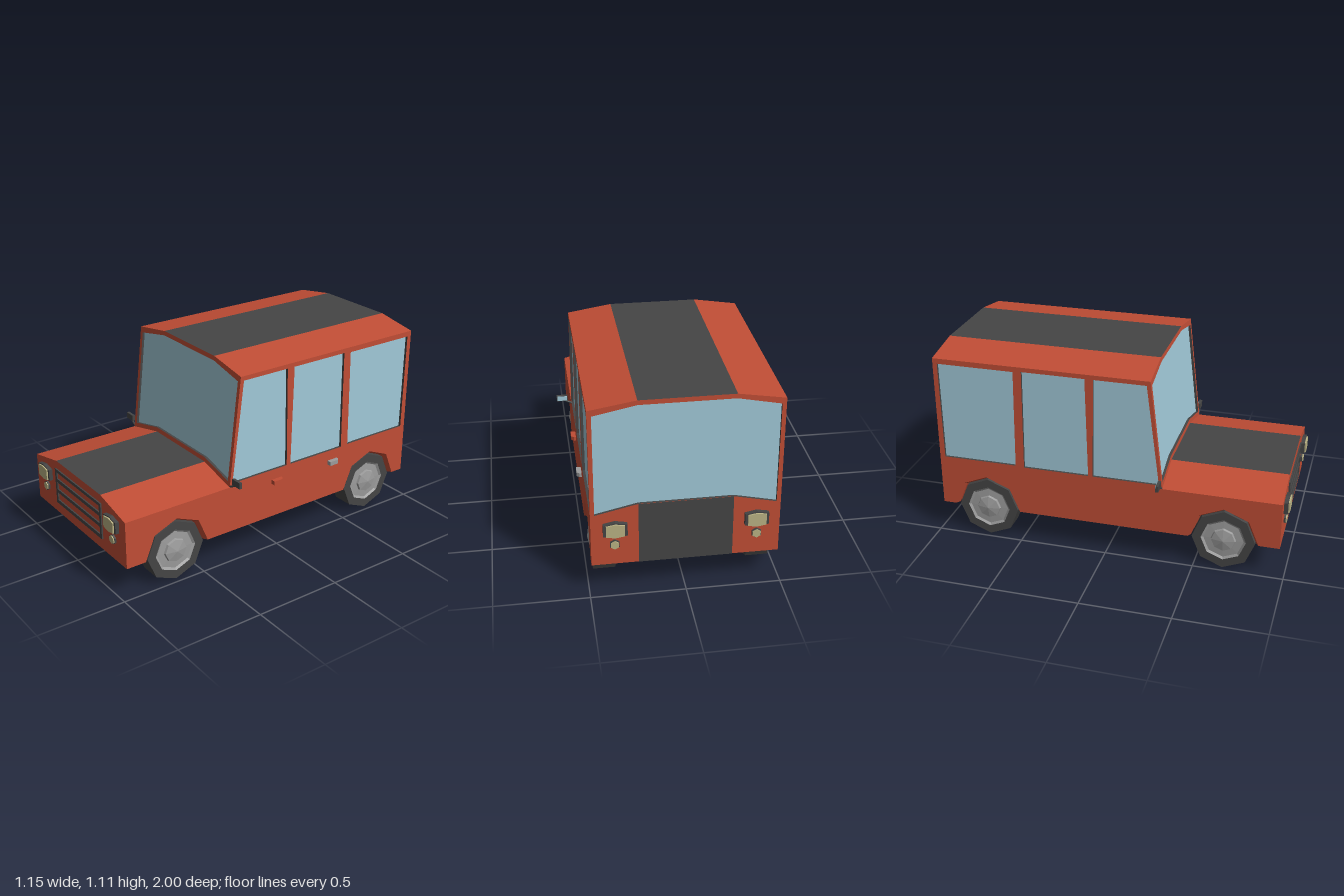
import * as THREE from 'three';

const paint = (name, color) => {
  const m = new THREE.MeshStandardMaterial({ color, flatShading: true, side: THREE.DoubleSide });
  m.name = name;
  return m;
};
const red = paint('redPaint', 0xc04d35);
const dark = paint('darkGrey', 0x454545);
const black = paint('underbodyBlack', 0x2a2a2a);
const glass = paint('glassBlue', 0xa1c9d8);
const grey = paint('metalGrey', 0x9c9c9c);
const yellow = paint('lampYellow', 0xbab284);

const W = 0.487, S = 0.243;              // half width, half width of stripe and ridge
const FLOOR = 0.18, BELT = 0.45, HOOD = 0.505, EAVE = 1.07, ROOF = 1.11, END = 0.97;
const screenZ = y => 0.32 - (y - BELT) * 0.113;   // raked windscreen plane
const AXLES = [0.66, -0.7];

function mesh(parent, name, geo, mat) {
  const m = new THREE.Mesh(geo, mat);
  m.name = name;
  parent.add(m);
  return m;
}
const toShape = pts => new THREE.Shape(pts.map(p => new THREE.Vector2(p[0], p[1])));

// Flat outline placed in space by map(u, v, depth)
function face(parent, name, pts, holes, map, depth, mat) {
  const shape = toShape(pts);
  holes.forEach(h => shape.holes.push(toShape(h)));
  const geo = new THREE.ShapeGeometry(shape);
  const p = geo.attributes.position;
  for (let i = 0; i < p.count; i++) p.setXYZ(i, ...map(p.getX(i), p.getY(i), depth));
  geo.computeVertexNormals();
  return mesh(parent, name, geo, mat);
}

function quads(parent, name, list, mat) {
  const pos = [];
  for (const [a, b, c, d] of list) pos.push(...a, ...b, ...c, ...a, ...c, ...d);
  const geo = new THREE.BufferGeometry();
  geo.setAttribute('position', new THREE.Float32BufferAttribute(pos, 3));
  geo.computeVertexNormals();
  return mesh(parent, name, geo, mat);
}

// Painted panel with recessed, dark-edged windows
function panel(parent, name, pts, holes, map) {
  face(parent, name, pts, holes, map, 0, red);
  holes.forEach(h => {
    face(parent, name + 'Glass', h, [], map, 0.014, glass);
    quads(parent, name + 'Seal', h.map((p, i) => {
      const q = h[(i + 1) % h.length];
      return [map(...p, 0), map(...q, 0), map(...q, 0.014), map(...p, 0.014)];
    }), dark);
  });
}

// Extruded outline, front at z1
function plate(parent, name, pts, holes, z0, z1, mat) {
  const shape = toShape(pts);
  holes.forEach(h => shape.holes.push(toShape(h)));
  const geo = new THREE.ExtrudeGeometry(shape, { depth: z1 - z0, bevelEnabled: false });
  return mesh(parent, name, geo.translate(0, 0, z0), mat);
}
const rect = (x0, y0, x1, y1) => [[x0, y0], [x1, y0], [x1, y1], [x0, y1]];
const barrel = (x, y, w, h, c) => [[x - w, y - h + c], [x, y - h], [x + w, y - h + c],
  [x + w, y + h - c], [x, y + h], [x - w, y + h - c]];
const hex = (x, y, r) => barrel(x, y, r * 0.87, r, r / 2);

function buildBody(car) {
  const body = new THREE.Group();
  body.name = 'body';
  car.add(body);

  // Sides with wheel arches and three windows each
  const side = [[END, FLOOR], [END, BELT], [0.32, BELT], [screenZ(EAVE), EAVE], [-END, EAVE], [-END, FLOOR]];
  for (const z of [...AXLES].reverse())
    for (let i = 4; i >= 0; i--) {
      const a = i * Math.PI / 4;
      side.push([z + 0.195 * Math.cos(a), FLOOR + 0.195 * Math.sin(a)]);
    }
  const windows = [
    [[0.302, 0.47], [0.23, 1.045], [-0.06, 1.045], [-0.07, 0.47]],
    [[-0.096, 0.47], [-0.107, 1.045], [-0.46, 1.045], [-0.468, 0.47]],
    [[-0.517, 0.475], [-0.507, 1.04], [-0.944, 1.04], [-0.94, 0.475]],
  ];
  for (const s of [1, -1])
    panel(body, s > 0 ? 'leftSide' : 'rightSide', side, windows, (u, v, d) => [s * (W - d), v, u]);

  // Windscreen, rear and nose
  const pane = [[-0.465, 0.48], [-S, 0.53], [S, 0.53], [0.465, 0.48],
    [0.465, 1.04], [S, 1.085], [-S, 1.085], [-0.465, 1.04]];
  const top = [[W, EAVE], [S, ROOF], [-S, ROOF], [-W, EAVE]];
  panel(body, 'windscreen', [[-W, BELT], [-S, HOOD], [S, HOOD], [W, BELT], ...top], [pane],
    (u, v, d) => [u, v, screenZ(v) - d]);
  panel(body, 'rear', [[-W, FLOOR], [W, FLOOR], ...top], [pane], (u, v, d) => [u, v, -END + d]);
  face(body, 'rearStripe', rect(-S, FLOOR, S, 0.53), [], (u, v) => [u, v, -END - 0.002], 0, dark);
  face(body, 'nose', [[-W, FLOOR], [W, FLOOR], [W, BELT], [S, HOOD], [-S, HOOD], [-W, BELT]], [],
    (u, v) => [u, v, END], 0, red);

  // Hood and roof: sloping red sides, dark centre stripe
  for (const [name, lo, hi, zFront, zBackLo, zBackHi] of [
    ['hood', BELT, HOOD, () => END, screenZ(BELT), screenZ(HOOD)],
    ['roof', EAVE, ROOF, screenZ, -END, -END]]) {
    quads(body, name + 'Sides', [1, -1].map(s => {
      const q = [[s * W, lo, zFront(lo)], [s * S, hi, zFront(hi)], [s * S, hi, zBackHi], [s * W, lo, zBackLo]];
      return s > 0 ? q.reverse() && [q[3], q[0], q[1], q[2]] : q;
    }).map((q, i) => i === 0 ? [q[0], q[1], q[2], q[3]] : [q[0], q[1], q[2], q[3]]), red);
    quads(body, name + 'Stripe', [[[-S, hi, zFront(hi)], [S, hi, zFront(hi)], [S, hi, zBackHi], [-S, hi, zBackHi]]], dark);
  }

  // Underbody notched for the wheel wells
  const half = [[W, END]];
  for (const z of AXLES)
    half.push([W, z + 0.195], [0.465, z + 0.18], [0.33, z + 0.18],
      [0.33, z - 0.18], [0.465, z - 0.18], [W, z - 0.195]);
  half.push([W, -END]);
  const floor = [...half, ...half.map(([x, z]) => [-x, z]).reverse()];
  face(body, 'underbody', floor, [], (u, v) => [u, FLOOR, v], 0, black);
}

// Wheel, hub and arch lining, built facing +x
function buildWheel(car, z, s) {
  const g = new THREE.Group();
  g.name = (z > 0 ? 'front' : 'rear') + (s > 0 ? 'Left' : 'Right') + 'Wheel';
  g.position.z = z;
  g.rotation.y = s > 0 ? 0 : Math.PI;
  car.add(g);
  const turned = pts => new THREE.LatheGeometry(pts.map(p => new THREE.Vector2(...p)), 8)
    .rotateZ(-Math.PI / 2).translate(0, 0.175, 0);
  mesh(g, 'tyre', turned([[0, 0.35], [0.175, 0.35], [0.175, 0.47], [0.125, 0.47]]), dark);
  mesh(g, 'hub', turned([[0.125, 0.47], [0.112, 0.461], [0.07, 0.463], [0.066, 0.475], [0, 0.488]]), grey);
  const arch = (r1, r0, x1, x0) => new THREE.CylinderGeometry(r1, r0, x1 - x0, 4, 1, true, Math.PI, Math.PI)
    .rotateZ(-Math.PI / 2).translate((x0 + x1) / 2, FLOOR, 0);
  mesh(g, 'archLip', arch(0.195, 0.18, W, 0.465), red);
  mesh(g, 'wheelWell', arch(0.18, 0.18, 0.465, 0.33), red);
  mesh(g, 'wellWall', new THREE.CircleGeometry(0.18, 4, 0, Math.PI).rotateY(Math.PI / 2)
    .translate(0.33, FLOOR, 0), red);
}

export function createModel() {
  const car = new THREE.Group();
  car.name = 'car';
  buildBody(car);

  for (const z of AXLES) {
    for (const s of [1, -1]) buildWheel(car, z, s);
    mesh(car, 'axle', new THREE.CylinderGeometry(0.022, 0.022, 0.72, 8).rotateZ(Math.PI / 2)
      .translate(0, 0.175, z), dark);
  }

  // Grille
  plate(car, 'grille', rect(-0.252, 0.246, 0.252, 0.458),
    [[0.4, 0.44], [0.335, 0.379], [0.268, 0.315]].map(([a, b]) => rect(-0.234, a, 0.234, b)), 0.965, 0.978, dark);

  // Lamps, the same at both ends
  for (const end of ['front', 'rear']) {
    const lamps = new THREE.Group();
    lamps.name = end + 'Lamps';
    lamps.rotation.y = end === 'front' ? 0 : Math.PI;
    car.add(lamps);
    for (const s of [1, -1]) {
      const x = s * 0.363;
      plate(lamps, 'lampFrame', barrel(x, 0.395, 0.062, 0.045, 0.012), [], 0.965, 0.992, dark);
      plate(lamps, 'lampLens', barrel(x, 0.394, 0.048, 0.039, 0.008), [], 0.99, 1.0, yellow);
      plate(lamps, 'smallLampFrame', hex(s * 0.366, 0.302, 0.028), [], 0.965, 0.98, dark);
      plate(lamps, 'smallLampLens', hex(s * 0.366, 0.302, 0.024), [], 0.978, 0.986, yellow);
    }
  }

  for (const s of [1, -1]) {
    // Door handles
    for (const [name, z, mat] of [['frontHandle', 0, red], ['rearHandle', -0.405, grey]]) {
      const h = plate(car, name, [[-0.034, 0], [0.034, 0], [0.034, 0.012], [0.022, 0.027], [-0.034, 0.027]],
        [], 0, 0.024, mat);
      h.geometry.rotateX(Math.PI / 2);
      if (s > 0) h.geometry.rotateY(Math.PI / 2);
      else h.geometry.rotateZ(Math.PI).rotateY(Math.PI / 2).translate(0, -0.024, 0);
      h.position.set(s * (W - 0.0), 0.41, z);
    }
    // Wing mirrors
    const mirror = new THREE.Group();
    mirror.name = s > 0 ? 'leftMirror' : 'rightMirror';
    car.add(mirror);
    mesh(mirror, 'mirrorHead', new THREE.BoxGeometry(0.066, 0.035, 0.016).translate(s * 0.541, 0.493, 0.311), dark);
    mesh(mirror, 'mirrorGlass', new THREE.BoxGeometry(0.058, 0.028, 0.004).translate(s * 0.541, 0.493, 0.302), glass);
    const stem = new THREE.LineCurve3(new THREE.Vector3(s * 0.48, 0.452, 0.315), new THREE.Vector3(s * 0.535, 0.48, 0.312));
    mesh(mirror, 'mirrorStem', new THREE.TubeGeometry(stem, 1, 0.006, 6), dark);
  }
  return car;
}
